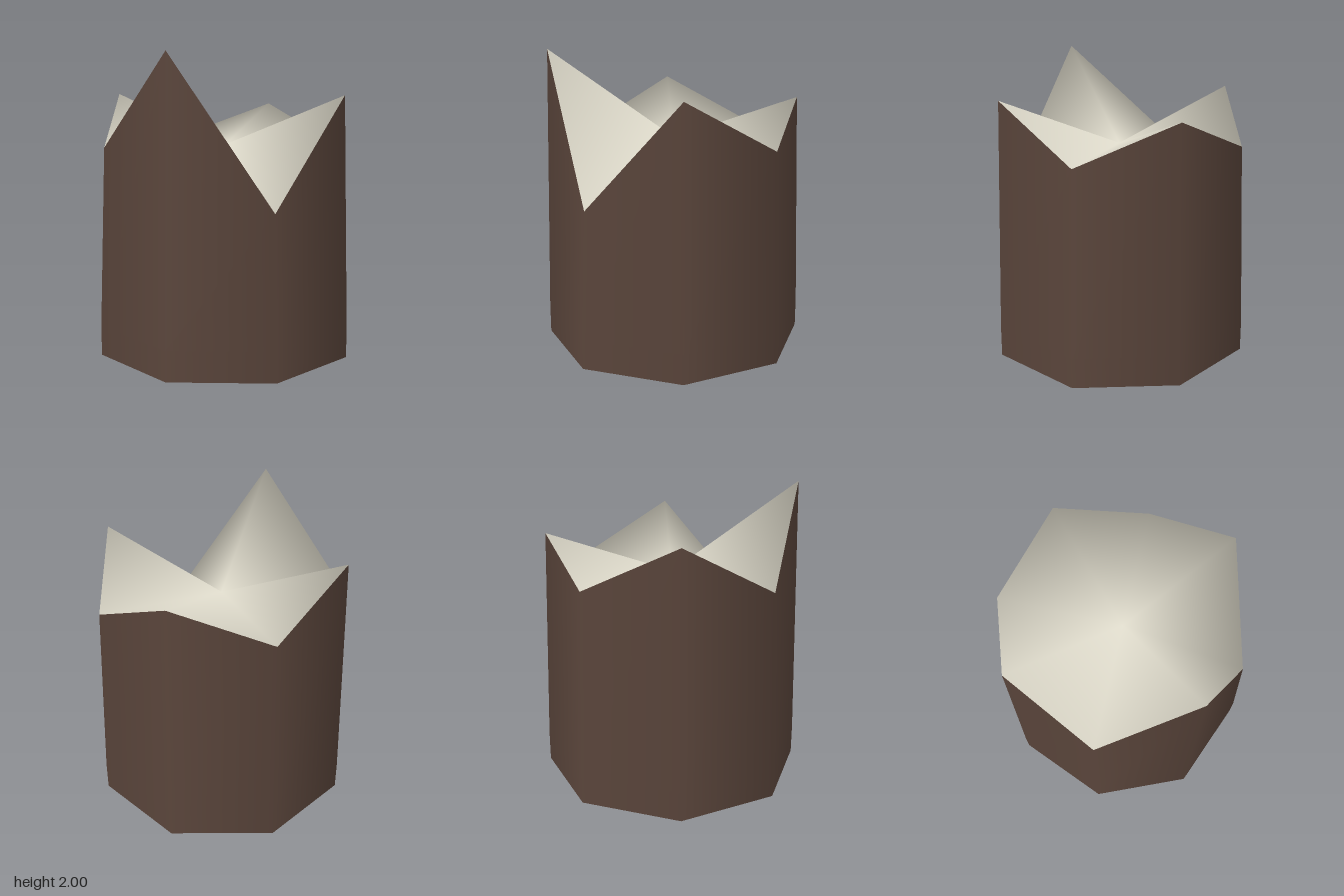
import * as THREE from 'three';

const bark = new THREE.MeshStandardMaterial({ color: 0x5a453b, side: THREE.DoubleSide });
bark.name = 'bark brown';
const wood = new THREE.MeshStandardMaterial({ color: 0xe6e2d2, side: THREE.DoubleSide });
wood.name = 'pale wood';

// Heights of the jagged rim, counter-clockwise from the front
const RIM = [1.04, 1.74, 1.4, 1.67, 1.43, 1.745, 1.4, 2.0];
const SIDES = RIM.length;
const CORE_HEIGHT = 1.4;

function makeMesh(name, material, positions, normals, index) {
  const geometry = new THREE.BufferGeometry();
  geometry.setAttribute('position', new THREE.Float32BufferAttribute(positions, 3));
  geometry.setAttribute('normal', new THREE.Float32BufferAttribute(normals, 3));
  geometry.setIndex(index);
  const mesh = new THREE.Mesh(geometry, material);
  mesh.name = name;
  return mesh;
}

// Point on the octagon at a given corner
function corner(i, radius, y) {
  const a = (i / SIDES) * Math.PI * 2;
  return [Math.sin(a) * radius, y, Math.cos(a) * radius];
}

// Open trunk wall: straight foot, then a slight taper up to the broken rim
function barkWall() {
  const positions = [], normals = [], index = [];
  const rings = [() => [0.89, 0], () => [0.89, 0.2], (i) => [0.843, RIM[i]]];
  rings.forEach((ring, r) => {
    for (let i = 0; i < SIDES; i++) {
      positions.push(...corner(i, ...ring(i)));
      normals.push(...corner(i, 1, 0));
      if (r === 0) continue;
      const j = (i + 1) % SIDES, low = (r - 1) * SIDES, high = r * SIDES;
      index.push(low + i, low + j, high + j, low + i, high + j, high + i);
    }
  });
  return makeMesh('barkWall', bark, positions, normals, index);
}

// Splintered top: a fan from the core to the rim, softly shaded outward
function splinteredTop() {
  const positions = [0, CORE_HEIGHT, 0], normals = [0, 1, 0], index = [];
  for (let i = 0; i < SIDES; i++) {
    positions.push(...corner(i, 0.843, RIM[i]));
    normals.push(...new THREE.Vector3(...corner(i, 1, 0.2)).normalize().toArray());
    index.push(0, 1 + i, 1 + ((i + 1) % SIDES));
  }
  return makeMesh('splinteredTop', wood, positions, normals, index);
}

export function createModel() {
  const stump = new THREE.Group();
  stump.name = 'brokenTreeStump';
  stump.add(barkWall(), splinteredTop());
  return stump;
}
